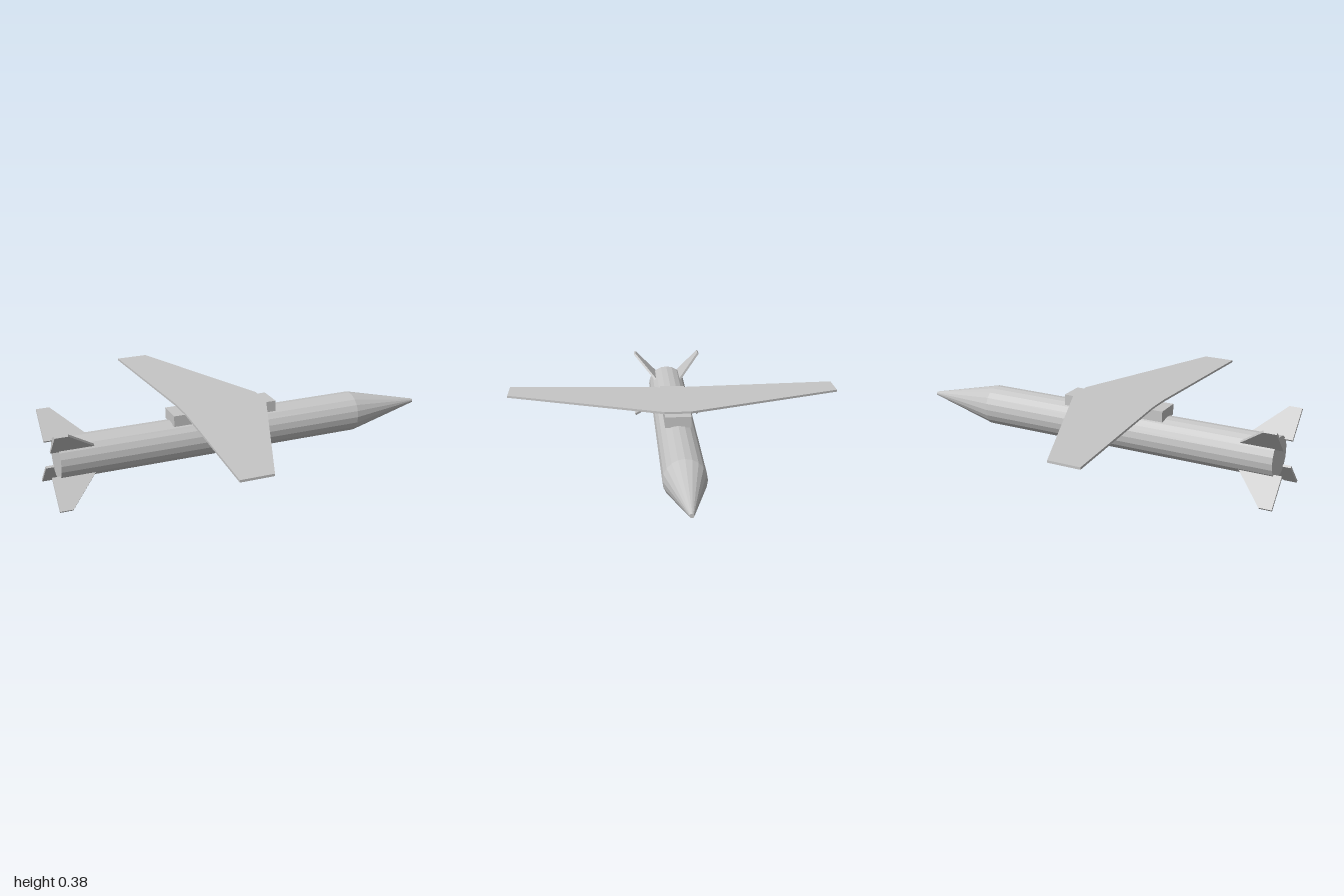
import * as THREE from 'three';

const AXIS_Y = 0.192;
const RADIUS = 0.103;
const SIDES = 20;

export function createModel() {
  const group = new THREE.Group();
  const grey = new THREE.MeshStandardMaterial({ color: 0xc6c6c6, flatShading: true });
  grey.name = 'light grey';

  function add(name, geometry, parent = group) {
    const mesh = new THREE.Mesh(geometry, grey);
    mesh.name = name;
    parent.add(mesh);
    return mesh;
  }

  // Round section lying along x, from x0 (radius r0) to x1 (radius r1)
  function section(name, x0, x1, r0, r1) {
    const geometry = new THREE.CylinderGeometry(r1, r0, x1 - x0, SIDES);
    geometry.rotateZ(-Math.PI / 2);
    add(name, geometry).position.set((x0 + x1) / 2, AXIS_Y, 0);
  }

  // Flat plate with the given outline, centred on its own thickness
  function plate(points, thickness) {
    const shape = new THREE.Shape(points.map(([x, y]) => new THREE.Vector2(x, y)));
    const geometry = new THREE.ExtrudeGeometry(shape, { depth: thickness, bevelEnabled: false });
    return geometry.translate(0, 0, -thickness / 2);
  }

  // Fuselage and tapered nose with a small blunt tip
  section('body', -0.96, 0.61, RADIUS, RADIUS);
  section('nose', 0.61, 1, RADIUS, 0.01);

  // Block carrying the wing
  add('wingMount', new THREE.BoxGeometry(0.54, 0.055, 0.13)).position.set(-0.12, 0.3125, 0);

  // One-piece swept wing
  const half = [[0.097, 0.065], [-0.23, 0.867], [-0.39, 0.867], [-0.335, 0.065]];
  const mirrored = half.map(([x, z]) => [x, -z]).reverse();
  const wing = plate([...half, ...mirrored], 0.011).rotateX(Math.PI / 2);
  add('wing', wing).position.y = 0.345;

  // Four tail fins in an X
  const fins = new THREE.Group();
  fins.name = 'tailFins';
  fins.position.y = AXIS_Y;
  group.add(fins);
  const finOutline = [[-1, 0.093], [-0.785, 0.093], [-0.937, 0.265], [-1, 0.265]];
  for (let i = 0; i < 4; i++) {
    add('tailFin', plate(finOutline, 0.012), fins).rotation.x = Math.PI / 4 + i * Math.PI / 2;
  }

  return group;
}
